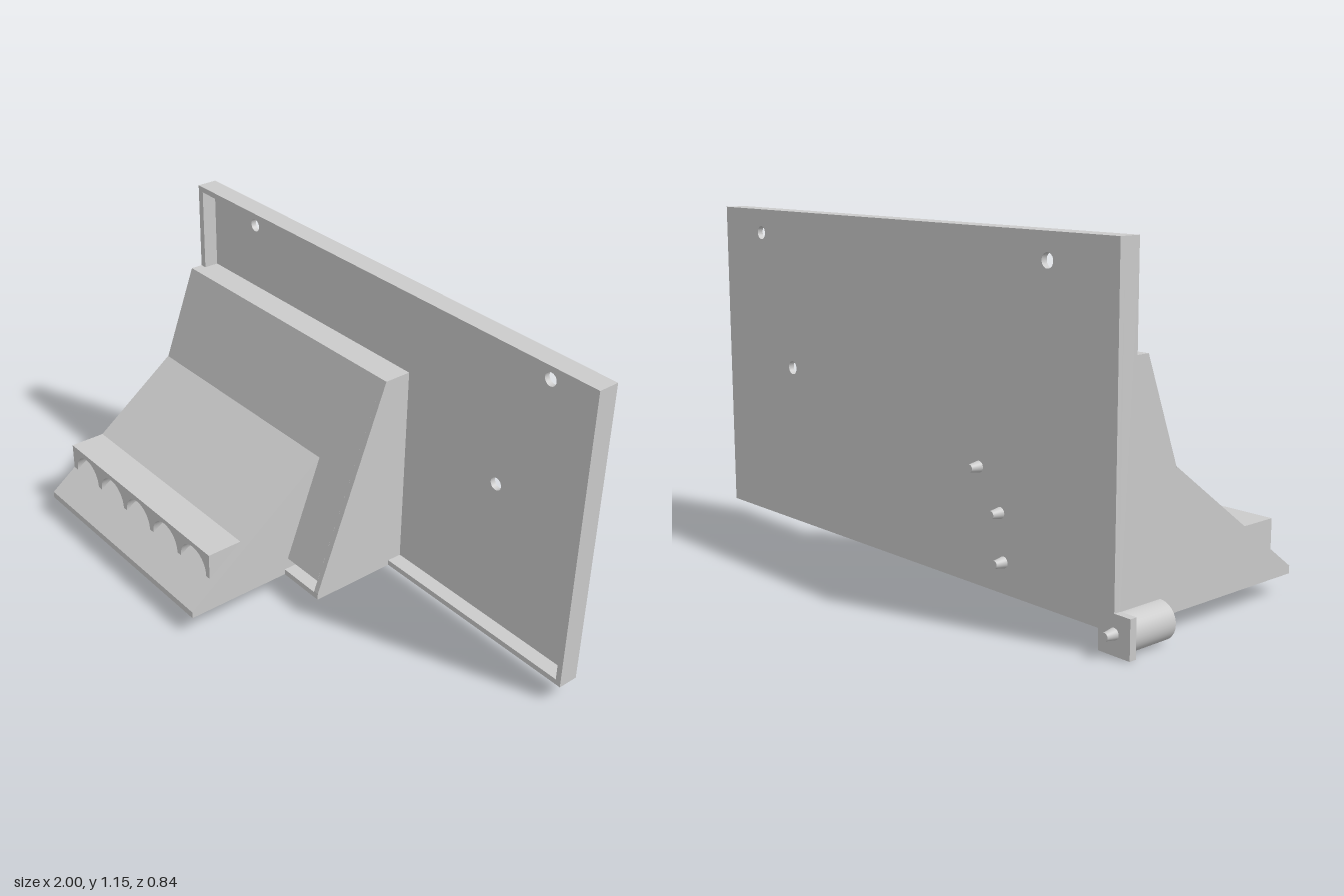
import * as THREE from 'three';

const material = new THREE.MeshStandardMaterial({ color: 0xcccccc, flatShading: true });
const smooth = new THREE.MeshStandardMaterial({ color: 0xcccccc });

const rectShape = (x0, y0, x1, y1) =>
  new THREE.Shape([[x0, y0], [x1, y0], [x1, y1], [x0, y1]].map(p => new THREE.Vector2(...p)));

const rectHole = (x0, y0, x1, y1) =>
  new THREE.Path([[x0, y0], [x0, y1], [x1, y1], [x1, y0]].map(p => new THREE.Vector2(...p)));

const circleHole = (x, y, r) => new THREE.Path().absarc(x, y, r, 0, Math.PI * 2, true);

export function createModel() {
  const group = new THREE.Group();

  const add = (name, geometry, mat = material) => {
    const mesh = new THREE.Mesh(geometry, mat);
    mesh.name = name;
    group.add(mesh);
    return mesh;
  };

  // Extrude an x-y shape from z0 to z1
  const extrudeZ = (name, shape, z0, z1) => {
    const g = new THREE.ExtrudeGeometry(shape, { depth: z1 - z0, bevelEnabled: false, curveSegments: 24 });
    return add(name, g.translate(0, 0, z0));
  };

  // Extrude a side profile of [z, y] points from x0 to x1
  const extrudeX = (name, profile, x0, x1) => {
    const shape = new THREE.Shape(profile.map(([z, y]) => new THREE.Vector2(-z, y)));
    const g = new THREE.ExtrudeGeometry(shape, { depth: x1 - x0, bevelEnabled: false });
    return add(name, g.rotateY(Math.PI / 2).translate(x0, 0, 0));
  };

  // Back panel with three screw holes and a raised rim
  const panel = rectShape(-0.94, 0.065, 1, 1.155);
  for (const [x, y] of [[-0.667, 1.073], [0.775, 1.073], [0.6, 0.613]]) {
    panel.holes.push(circleHole(x, y, 0.023));
  }
  extrudeZ('backPanel', panel, -0.38, -0.36);
  const rim = rectShape(-0.94, 0.065, 1, 1.155);
  rim.holes.push(rectHole(-0.915, 0.085, 0.98, 1.135));
  extrudeZ('panelRim', rim, -0.36, -0.305);

  // Upper sloped body; the middle stretch has a slot in its foot
  const slopeTop = [[-0.36, 0.833], [-0.26, 0.833]];
  const foot = [[0.02, 0.09], [0.02, 0.065], [-0.36, 0.065]];
  const slot = [[0.006, 0.128], [-0.28, 0.128], [-0.28, 0.086], [0.02, 0.086], ...foot.slice(1)];
  extrudeX('upperSlope', [...slopeTop, ...foot], -0.94, -0.01);
  extrudeX('upperSlopeSlotted', [...slopeTop, ...slot], -0.01, 0.155);
  extrudeX('upperSlopeEnd', [...slopeTop, ...foot], 0.155, 0.175);

  // Lower sloped body
  extrudeX('lowerSlope',
    [[-0.132, 0.497], [0.418, 0.09], [0.418, 0.065], [-0.132, 0.065]], -0.94, -0.01);

  // Ledge with five arches, its back sunk into the slope
  const ledge = new THREE.Shape();
  ledge.moveTo(-0.045, 0.262);
  ledge.lineTo(-0.94, 0.262);
  ledge.lineTo(-0.94, 0.164);
  for (let i = 0; i < 5; i++) {
    const x = -0.84 + i * 0.1745;
    ledge.lineTo(x - 0.076, 0.164);
    ledge.absarc(x, 0.168, 0.076, Math.PI, 0, true);
    ledge.lineTo(x + 0.076, 0.164);
  }
  ledge.lineTo(-0.045, 0.164);
  ledge.closePath();
  extrudeZ('archedLedge', ledge, 0.15, 0.318);

  // Corner bracket with an open tube
  const cx = -0.94, cy = 0.061;
  extrudeZ('cornerBracket', rectShape(-1, 0, -0.88, 0.122), -0.38, -0.355);
  const tube = new THREE.LatheGeometry(
    [[0.037, 0], [0.06, 0], [0.06, 0], [0.06, 0.165], [0.06, 0.165],
      [0.037, 0.165], [0.037, 0.165], [0.037, 0]].map(p => new THREE.Vector2(...p)), 40);
  add('cornerTube', tube.rotateX(Math.PI / 2).translate(cx, cy, -0.355),
    new THREE.MeshStandardMaterial({ color: 0xcccccc, side: THREE.DoubleSide }));

  // Tapered pegs on the back
  for (const [x, y] of [[-0.38, 0.436], [-0.475, 0.312], [-0.49, 0.163], [cx, 0.064]]) {
    const peg = new THREE.CylinderGeometry(0.018, 0.012, 0.038, 24);
    add('peg', peg.rotateX(Math.PI / 2).translate(x, y, -0.399), smooth);
  }

  return group;
}
